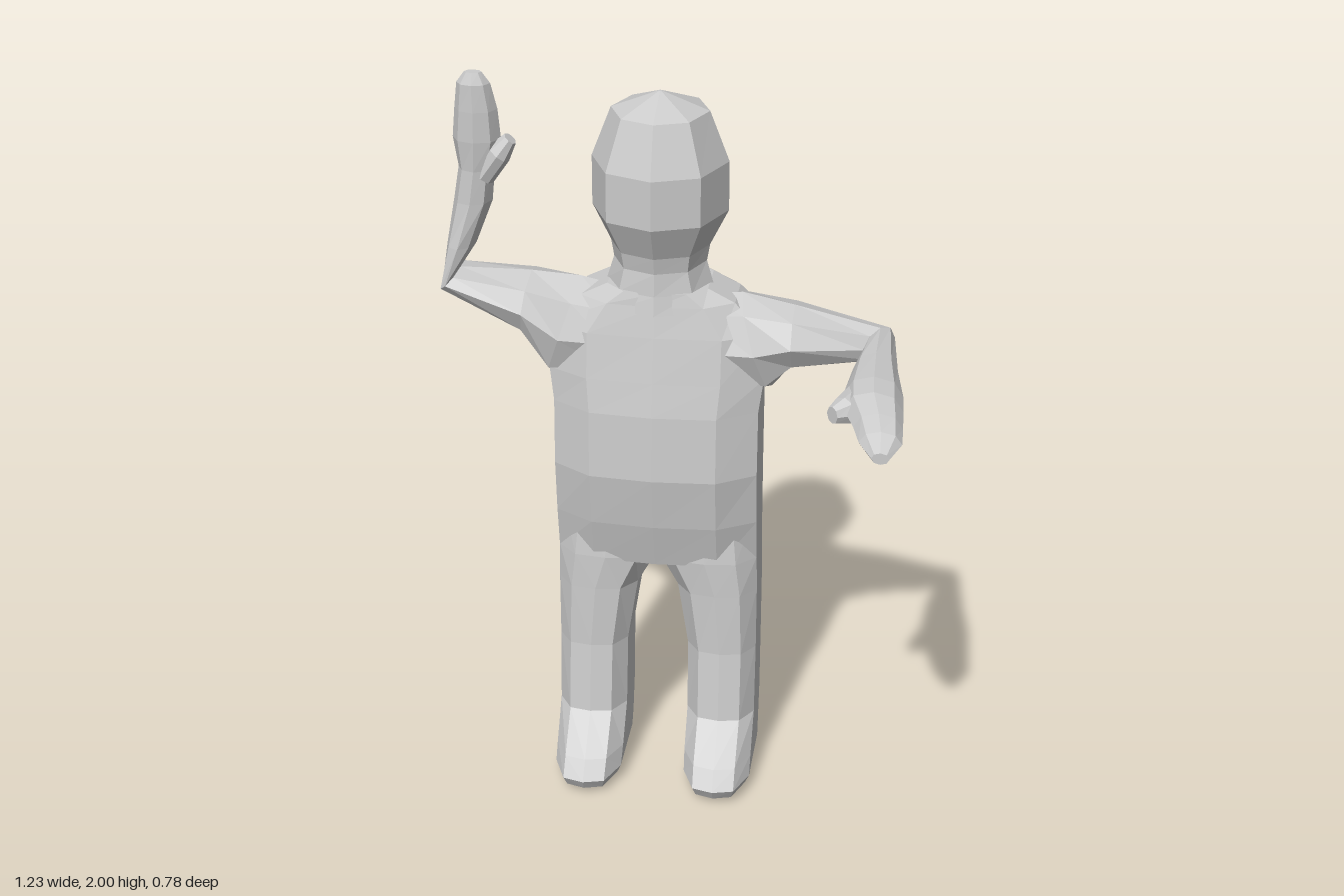
import * as THREE from 'three';

const CX = -0.045; // body midline
const material = new THREE.MeshStandardMaterial({ color: 0xcccccc, flatShading: true, side: THREE.DoubleSide });

// half outlines [across, depth], front to back, mirrored into closed loops
const closed = (half) => [...half, ...half.slice(1, -1).reverse().map(([a, b]) => [-a, b])];
const OCTAGON = closed([[0, 1], [0.68, 0.74], [1, 0], [0.68, -0.74], [0, -1]]);
const BLOCK = closed([[0, 1], [0.62, 0.92], [1, 0.48], [1, -0.62], [0.7, -1], [0, -1]]);

// flat-shaded skin over a list of rings, closed with a fan at each end
function loft(name, rings) {
  const tris = [];
  const n = rings[0].length;
  for (let i = 0; i + 1 < rings.length; i++) {
    for (let j = 0; j < n; j++) {
      const k = (j + 1) % n;
      const [a, b, c, d] = [rings[i][j], rings[i][k], rings[i + 1][k], rings[i + 1][j]];
      tris.push([a, b, c], [a, c, d]);
    }
  }
  const cap = (ring, flip) => {
    const mid = ring.reduce((s, p) => s.add(p), new THREE.Vector3()).divideScalar(n);
    ring.forEach((p, j) => {
      const q = ring[(j + 1) % n];
      tris.push(flip ? [mid, q, p] : [mid, p, q]);
    });
  };
  cap(rings[0], true);
  cap(rings[rings.length - 1], false);
  // turn the faces outwards
  const volume = tris.reduce((s, [a, b, c]) => s + a.dot(b.clone().cross(c)), 0);
  if (volume < 0) tris.forEach((t) => t.reverse());
  const geometry = new THREE.BufferGeometry().setFromPoints(tris.flat());
  geometry.computeVertexNormals();
  const mesh = new THREE.Mesh(geometry, material);
  mesh.name = name;
  return mesh;
}

// ring from a centre and two half-axes
function ring(c, u, v, outline = OCTAGON) {
  const [C, U, V] = [c, u, v].map((p) => new THREE.Vector3(...p));
  return outline.map(([a, b]) => C.clone().addScaledVector(U, a).addScaledVector(V, b));
}

// level ring spanning x0..x1 and zBack..zFront
const level = (y, x0, x1, zf, zb, outline) =>
  ring([(x0 + x1) / 2, y, (zf + zb) / 2], [(x1 - x0) / 2, 0, 0], [0, 0, (zf - zb) / 2], outline);
const centred = (rows, outline) =>
  rows.map(([y, w, zf, zb]) => level(y, CX - w, CX + w, zf, zb, outline));

export function createModel() {
  const model = new THREE.Group();
  model.name = 'figure';

  // y, half width, front z, back z
  model.add(loft('torso', centred([
    [0.67, 0.268, -0.1, -0.335],
    [0.8, 0.268, -0.065, -0.335],
    [0.95, 0.268, -0.04, -0.335],
    [1.13, 0.268, -0.05, -0.335],
    [1.22, 0.28, -0.065, -0.335],
    [1.34, 0.28, -0.085, -0.335],
    [1.42, 0.2, -0.1, -0.325],
    [1.455, 0.13, -0.105, -0.32],
  ], BLOCK)));

  model.add(loft('headAndNeck', centred([
    [1.4, 0.16, -0.085, -0.33],
    [1.45, 0.138, -0.095, -0.325],
    [1.51, 0.12, -0.1, -0.33],
    [1.555, 0.128, -0.09, -0.34],
    [1.65, 0.175, -0.042, -0.388],
    [1.78, 0.175, -0.042, -0.388],
    [1.91, 0.125, -0.09, -0.34],
    [1.957, 0.004, -0.21, -0.22],
  ], OCTAGON)));

  // legs with feet: y, inner x, outer x (from the midline), front z, back z
  const legRows = [
    [0.005, 0.125, 0.235, 0.0, -0.28],
    [0.02, 0.1, 0.258, 0.035, -0.315],
    [0.05, 0.088, 0.27, 0.052, -0.325],
    [0.1, 0.086, 0.27, 0.015, -0.33],
    [0.2, 0.085, 0.27, -0.078, -0.335],
    [0.4, 0.083, 0.27, -0.1, -0.335],
    [0.58, 0.055, 0.27, -0.1, -0.335],
    [0.68, 0, 0.268, -0.098, -0.335],
    [0.8, 0, 0.255, -0.11, -0.32],
  ];
  for (const [name, s] of [['leftLeg', 1], ['rightLeg', -1]]) {
    model.add(loft(name, legRows.map(([y, a, b, zf, zb]) =>
      level(y, CX + s * a, CX + s * b, zf, zb, BLOCK))));
  }

  // raised right arm, bent up at the elbow
  model.add(loft('rightArm', [
    ring([-0.16, 1.31, -0.21], [0, 0.12, 0], [0, 0, 0.115]),
    ring([-0.295, 1.315, -0.21], [0.045, 0.135, 0], [0, 0, 0.118]),
    ring([-0.39, 1.38, -0.205], [0.01, 0.08, 0], [0, 0, 0.112]),
    ring([-0.593, 1.432, -0.21], [0.025, 0.024, 0], [0, 0, 0.08]),
    ring([-0.56, 1.53, -0.205], [0.038, 0, 0], [0, 0, 0.065]),
    ring([-0.525, 1.65, -0.2], [0.05, 0, 0], [0, 0, 0.05]),
    ring([-0.512, 1.74, -0.195], [0.047, 0, 0], [0, 0, 0.045]),
    ring([-0.508, 1.82, -0.19], [0.062, 0, 0], [0, 0, 0.048]),
    ring([-0.506, 1.9, -0.182], [0.055, 0, 0], [0, 0, 0.042]),
    ring([-0.508, 1.97, -0.172], [0.043, 0, 0], [0, 0, 0.03]),
    ring([-0.507, 2.0, -0.167], [0.022, 0, 0], [0, 0, 0.014]),
  ]));
  model.add(loft('rightThumb', [
    ring([-0.495, 1.72, -0.19], [0.025, -0.02, 0], [0, 0, 0.035]),
    ring([-0.45, 1.785, -0.18], [0.025, -0.02, 0], [0, 0, 0.035]),
    ring([-0.42, 1.825, -0.178], [0.014, -0.012, 0], [0, 0, 0.02]),
  ]));

  // left arm, bent forward at the elbow
  model.add(loft('leftArm', [
    ring([0.07, 1.3, -0.21], [0, 0, 0.115], [0, 0.12, 0]),
    ring([0.21, 1.3, -0.21], [0, 0, 0.118], [-0.04, 0.13, 0]),
    ring([0.305, 1.325, -0.2], [0, 0, 0.11], [0, 0.082, 0]),
    ring([0.525, 1.313, -0.195], [-0.036, 0, 0.045], [0, 0.045, 0]),
    ring([0.525, 1.317, -0.03], [-0.056, 0, 0], [0, 0.047, 0]),
    ring([0.53, 1.32, 0.12], [-0.073, 0, 0], [0, 0.05, 0]),
    ring([0.535, 1.318, 0.2], [-0.073, 0, 0], [0, 0.049, 0]),
    ring([0.552, 1.308, 0.275], [-0.06, 0, 0], [0, 0.04, 0]),
    ring([0.562, 1.298, 0.335], [-0.052, 0, 0], [0, 0.031, 0]),
    ring([0.566, 1.285, 0.39], [-0.022, 0, 0], [0, 0.015, 0]),
  ]));
  model.add(loft('leftThumb', [
    ring([0.5, 1.315, 0.12], [0.035, 0, 0.025], [0, 0.035, 0]),
    ring([0.465, 1.312, 0.2], [0.03, 0, 0.022], [0, 0.035, 0]),
    ring([0.438, 1.31, 0.225], [0.014, 0, 0.014], [0, 0.022, 0]),
  ]));

  return model;
}
